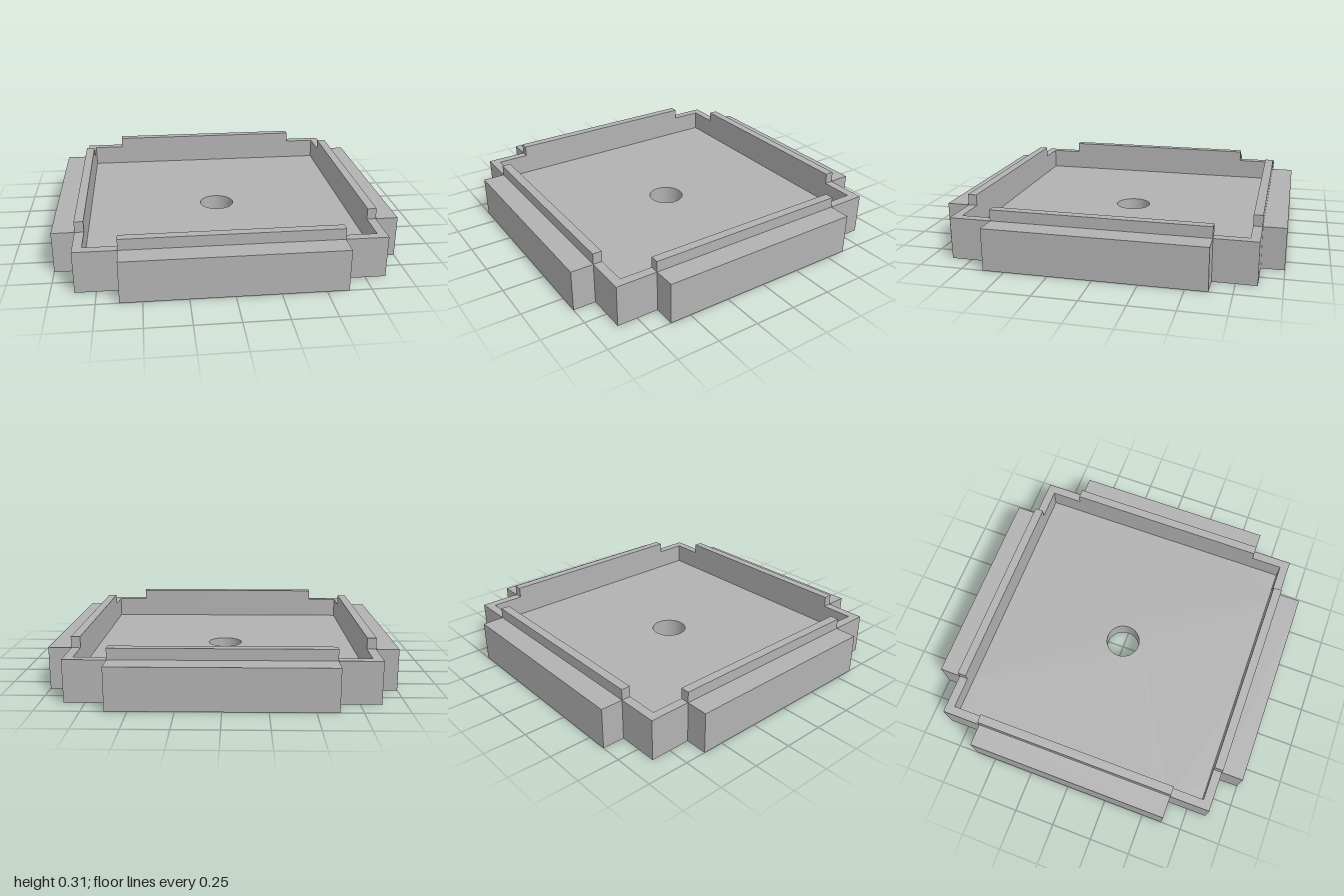
import * as THREE from 'three';

const BODY = 0.868;   // half width of the square tray
const INNER = 0.815;  // half width of the recess
const REACH = 1.0;    // half width including the side ledges
const LEDGE = 0.624;  // half length of ledges and lips
const FLOOR = 0.12, RIM = 0.245, TOP = 0.31;
const HOLE = 0.106;

// Square with a centred ledge sticking out of each side
function outline() {
  const quarter = [[REACH, -LEDGE], [REACH, LEDGE], [BODY, LEDGE], [BODY, BODY], [LEDGE, BODY]];
  const points = [];
  for (let i = 0; i < 4; i++) {
    for (const [x, y] of quarter) {
      const p = new THREE.Vector2(x, y);
      for (let k = 0; k < i; k++) p.set(-p.y, p.x);
      // the last corner of each quarter meets the next ledge
      points.push(p);
    }
  }
  return new THREE.Shape(points);
}

// Extrude a plan shape upward from y0 to y1
function slab(shape, y0, y1) {
  const geo = new THREE.ExtrudeGeometry(shape, { depth: y1 - y0, bevelEnabled: false, curveSegments: 48 });
  geo.rotateX(-Math.PI / 2);
  geo.translate(0, y0, 0);
  return geo;
}

export function createModel() {
  const grey = new THREE.MeshStandardMaterial({ color: 0xb2b2b2 });
  grey.name = 'grey';
  const model = new THREE.Group();
  model.name = 'tray';

  const add = (name, geo) => {
    const mesh = new THREE.Mesh(geo, grey);
    mesh.name = name;
    model.add(mesh);
    return mesh;
  };

  // Floor with the round centre hole
  const floorShape = outline();
  floorShape.holes.push(new THREE.Path().absarc(0, 0, HOLE, 0, Math.PI * 2, true));
  add('floor', slab(floorShape, 0, FLOOR));

  // Walls and ledges around the square recess
  const wallShape = outline();
  wallShape.holes.push(new THREE.Path([
    new THREE.Vector2(-INNER, -INNER), new THREE.Vector2(-INNER, INNER),
    new THREE.Vector2(INNER, INNER), new THREE.Vector2(INNER, -INNER),
  ]));
  add('walls', slab(wallShape, FLOOR, RIM));

  // Raised lip on the middle of each wall
  ['frontLip', 'leftLip', 'backLip', 'rightLip'].forEach((name, i) => {
    const geo = new THREE.BoxGeometry(LEDGE * 2, TOP - RIM, BODY - INNER);
    geo.translate(0, (TOP + RIM) / 2, (BODY + INNER) / 2);
    add(name, geo).rotation.y = i * Math.PI / 2;
  });

  return model;
}
